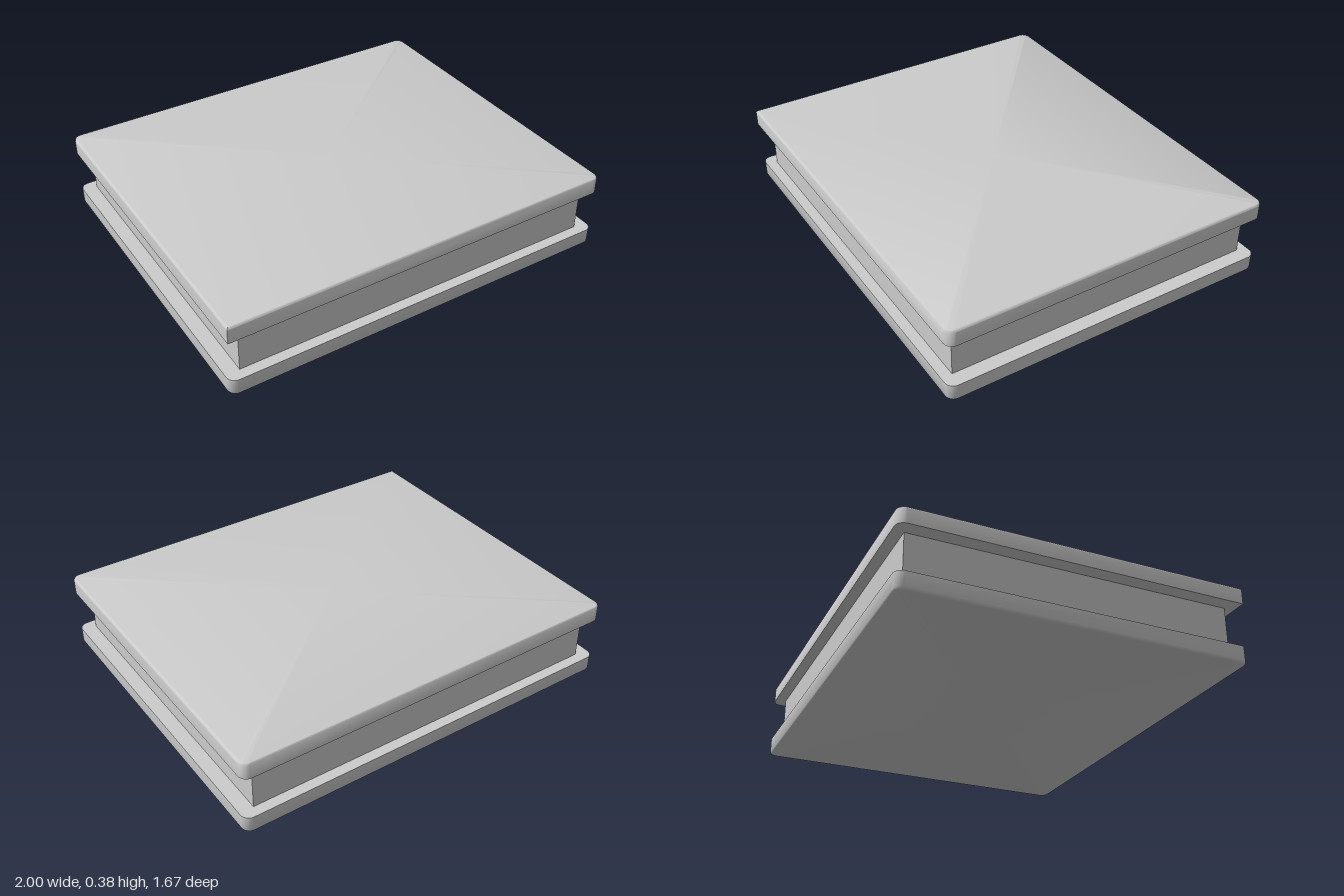
import * as THREE from 'three';
import { toCreasedNormals } from 'three/addons/utils/BufferGeometryUtils.js';

const HALF_X = 1, HALF_Z = 0.835, THICK = 0.083, HEIGHT = 0.385;
const CORNER = 0.042, BEVEL = 0.013;

// Plan outline of a slab, inset by d; the front right corner may be left square
function outline(d, squareCorner) {
  const points = [], steps = 6;
  [[1, 1], [-1, 1], [-1, -1], [1, -1]].forEach(([sx, sz], q) => {
    if (squareCorner && q === 1) {
      points.push([sx * (HALF_X - d), sz * (HALF_Z - d)]);
      return;
    }
    for (let i = 0; i <= steps; i++) {
      const a = (q + i / steps) * Math.PI / 2;
      points.push([
        sx * (HALF_X - CORNER) + Math.cos(a) * (CORNER - d),
        sz * (HALF_Z - CORNER) + Math.sin(a) * (CORNER - d),
      ]);
    }
  });
  return points;
}

// Slab with a sharp lower rim and a softly rounded upper rim
function slabGeometry(squareCorner) {
  const levels = [[0, 0]];
  for (let i = 0; i <= 4; i++) {
    const a = i / 4 * Math.PI / 2;
    levels.push([THICK - BEVEL + BEVEL * Math.sin(a), BEVEL * (1 - Math.cos(a))]);
  }
  const positions = [], index = [];
  let n = 0;
  for (const [y, d] of levels) {
    const ring = outline(d, squareCorner);
    n = ring.length;
    ring.forEach(([x, z]) => positions.push(x, y, z));
  }
  const last = (levels.length - 1) * n, bottom = levels.length * n, top = bottom + 1;
  positions.push(0, 0, 0, 0, THICK, 0);
  for (let i = 0; i < n; i++) {
    const k = (i + 1) % n;
    for (let r = 0; r < last; r += n) {
      index.push(r + i, r + n + i, r + k, r + k, r + n + i, r + n + k);
    }
    index.push(bottom, i, k, top, last + k, last + i);
  }
  const geometry = new THREE.BufferGeometry();
  geometry.setAttribute('position', new THREE.Float32BufferAttribute(positions, 3));
  geometry.setIndex(index);
  return toCreasedNormals(geometry, 0.6);
}

export function createModel() {
  const model = new THREE.Group();
  const material = new THREE.MeshStandardMaterial({ color: 0xcccccc });
  const add = (name, geometry, y) => {
    const mesh = new THREE.Mesh(geometry, material);
    mesh.name = name;
    mesh.position.y = y;
    model.add(mesh);
    return mesh;
  };

  // Recessed core between the two slabs
  add('core', new THREE.BoxGeometry(1.86, HEIGHT - 2 * THICK, 1.565), HEIGHT / 2);

  // Upper slab, rounded rim facing up
  add('topSlab', slabGeometry(true), HEIGHT - THICK);

  // Lower slab, turned over so its rounded rim faces down
  add('bottomSlab', slabGeometry(false), THICK).rotation.x = Math.PI;

  return model;
}
